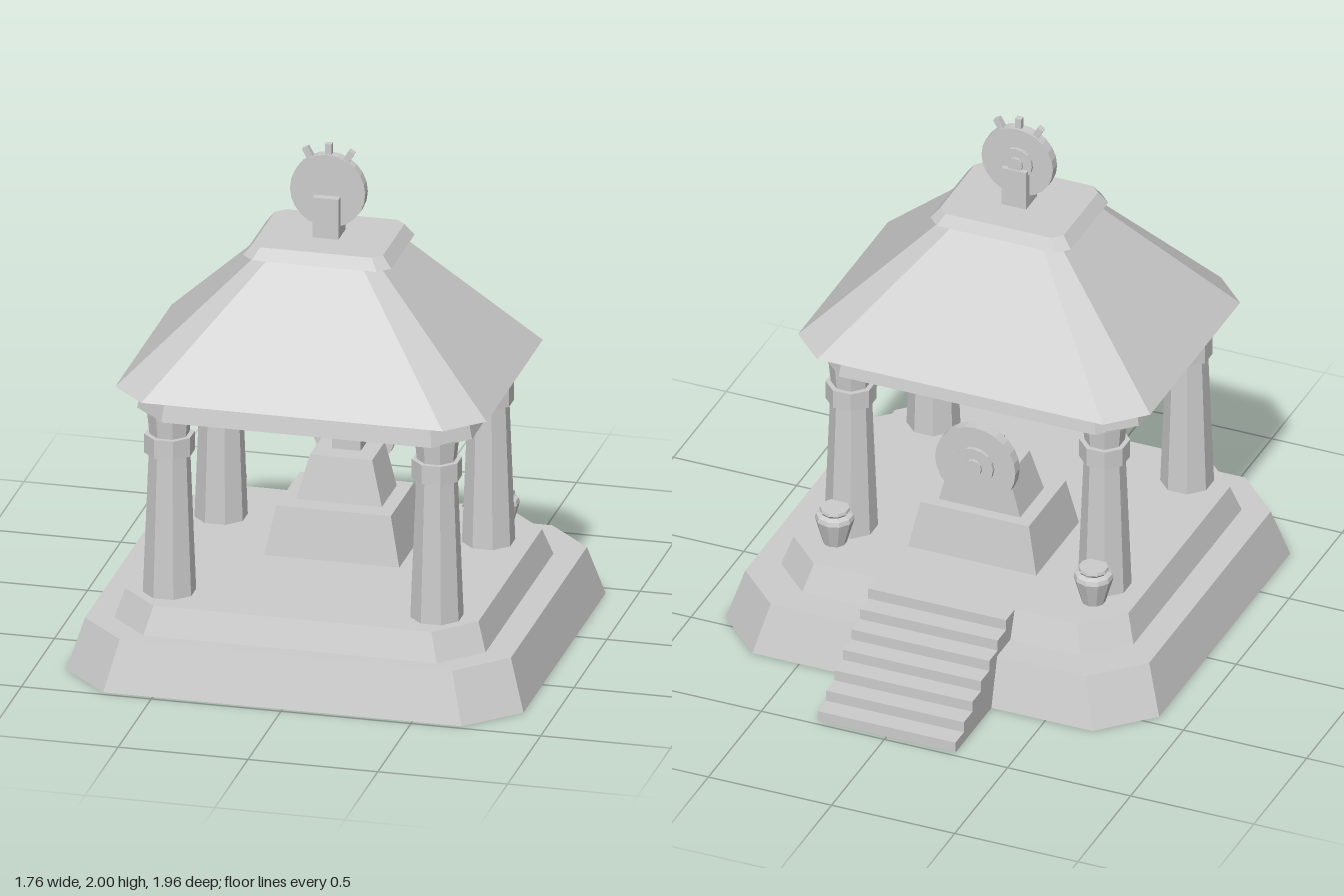
import * as THREE from 'three';

const stone = new THREE.MeshStandardMaterial({ color: 0xcccccc });
stone.name = 'greyStone';
stone.side = THREE.DoubleSide;

function add(parent, geo, name, x = 0, y = 0, z = 0) {
  const flat = geo.index ? geo.toNonIndexed() : geo;
  flat.computeVertexNormals();
  const mesh = new THREE.Mesh(flat, stone);
  mesh.name = name;
  mesh.position.set(x, y, z);
  parent.add(mesh);
  return mesh;
}

// Rectangle outline with cut corners; c = 0 gives a plain rectangle
function outline({ x, z0, z1, y, c = 0 }) {
  const pts = c
    ? [[x - c, z1], [x, z1 - c], [x, z0 + c], [x - c, z0], [c - x, z0], [-x, z0 + c], [-x, z1 - c], [c - x, z1]]
    : [[x, z1], [x, z0], [-x, z0], [-x, z1]];
  return pts.map(([px, pz]) => [px, y, pz]);
}

// Tapered block between two outlines, with an optional bottom
function block(low, high, bottom = true) {
  const a = outline(low), b = outline(high), n = a.length, v = [];
  const tri = (...p) => p.forEach((q) => v.push(...q));
  for (let i = 0; i < n; i++) {
    const j = (i + 1) % n;
    tri(a[i], a[j], b[j]);
    tri(a[i], b[j], b[i]);
    if (i > 0 && i < n - 1) {
      tri(b[0], b[i], b[j]);
      if (bottom) tri(a[0], a[j], a[i]);
    }
  }
  const g = new THREE.BufferGeometry();
  g.setAttribute('position', new THREE.Float32BufferAttribute(v, 3));
  return g;
}

// Eight-sided column piece with a flat side to the front
function octagon(rTop, rBottom, y0, y1) {
  const k = 1 / Math.cos(Math.PI / 8);
  return new THREE.CylinderGeometry(rTop * k, rBottom * k, y1 - y0, 8)
    .rotateY(Math.PI / 8).translate(0, (y0 + y1) / 2, 0);
}

// Disc standing upright between two depths
function disc(r, z0, z1, seg = 24) {
  return new THREE.CylinderGeometry(r, r, z1 - z0, seg)
    .rotateX(Math.PI / 2).translate(0, 0, (z0 + z1) / 2);
}

export function createModel() {
  const model = new THREE.Group();
  model.name = 'pavilion';

  // Two-tier platform, hollow underneath
  add(model, block(
    { x: 0.88, z0: -0.64, z1: 0.98, y: 0, c: 0.19 },
    { x: 0.82, z0: -0.585, z1: 0.925, y: 0.197, c: 0.18 }, false), 'lowerPlatform');
  add(model, block(
    { x: 0.715, z0: -0.46, z1: 0.865, y: 0.197, c: 0.15 },
    { x: 0.68, z0: -0.42, z1: 0.83, y: 0.306, c: 0.145 }, false), 'upperPlatform');

  // Back stairs, each step a hollow block
  const stairs = new THREE.Group();
  stairs.name = 'stairs';
  model.add(stairs);
  for (let i = 0; i < 7; i++) {
    const z1 = -0.42 - i * 0.08, z0 = z1 - 0.08;
    add(stairs, block({ x: 0.28, z0, z1, y: 0 }, { x: 0.28, z0, z1, y: 0.306 * (7 - i) / 7 }, false), 'step');
  }

  // Four columns with collars
  for (const x of [-0.515, 0.515]) {
    for (const z of [-0.115, 0.665]) {
      const column = new THREE.Group();
      column.name = 'column';
      column.position.set(x, 0, z);
      model.add(column);
      add(column, octagon(0.072, 0.093, 0.306, 0.88), 'shaft');
      add(column, octagon(0.088, 0.088, 0.865, 0.94), 'collar');
      add(column, octagon(0.078, 0.07, 0.94, 1.025), 'capital');
    }
    // Jar beside the back column
    const profile = [[0, 0], [0.045, 0], [0.075, 0.105], [0.07, 0.122], [0.05, 0.13], [0.058, 0.14], [0.055, 0.152], [0, 0.152]];
    add(model, new THREE.LatheGeometry(profile.map((p) => new THREE.Vector2(...p)), 10), 'jar', x * 1.02, 0.306, -0.245);
  }

  // Roof
  add(model, block(
    { x: 0.645, z0: -0.22, z1: 0.77, y: 1.02, c: 0.125 },
    { x: 0.625, z0: -0.2, z1: 0.75, y: 1.118, c: 0.115 }), 'eaveBeam');
  add(model, block(
    { x: 0.715, z0: -0.285, z1: 0.835, y: 1.118, c: 0.135 },
    { x: 0.235, z0: 0.065, z1: 0.485, y: 1.595, c: 0.05 }), 'roof');
  add(model, block(
    { x: 0.285, z0: 0.055, z1: 0.5, y: 1.595, c: 0.045 },
    { x: 0.25, z0: 0.08, z1: 0.475, y: 1.64, c: 0.035 }), 'roofCap');

  // Roof ornament
  const ornament = new THREE.Group();
  ornament.name = 'roofOrnament';
  ornament.position.set(0, 1.818, 0.277);
  model.add(ornament);
  add(ornament, new THREE.BoxGeometry(0.1, 0.16, 0.105), 'post', 0, -0.098, 0);
  add(ornament, disc(0.145, -0.02, 0.02), 'wheel');
  add(ornament, disc(0.065, -0.033, -0.018, 16), 'hub');
  add(ornament, disc(0.03, -0.045, -0.03, 12), 'hubBoss');
  for (const angle of [-0.51, 0, 0.51]) {
    const spike = new THREE.BoxGeometry(0.025, 0.06, 0.024).translate(0, 0.155, 0).rotateZ(angle);
    add(ornament, spike, 'spike');
  }

  // Pedestal with a large disc facing the stairs
  add(model, block(
    { x: 0.26, z0: -0.17, z1: 0.235, y: 0.306 },
    { x: 0.22, z0: -0.145, z1: 0.205, y: 0.498 }), 'pedestalBase');
  add(model, block(
    { x: 0.165, z0: -0.1, z1: 0.125, y: 0.498 },
    { x: 0.12, z0: -0.1, z1: 0.095, y: 0.67 }), 'pedestalBlock');
  add(model, new THREE.BoxGeometry(0.11, 0.1, 0.115), 'pedestalPost', 0, 0.72, -0.043);
  add(model, disc(0.163, -0.14, -0.098), 'pedestalDisc', 0, 0.712);
  add(model, disc(0.078, -0.155, -0.135, 16), 'pedestalHub', 0, 0.712);
  add(model, disc(0.035, -0.168, -0.15, 12), 'pedestalHubBoss', 0, 0.712);

  return model;
}
